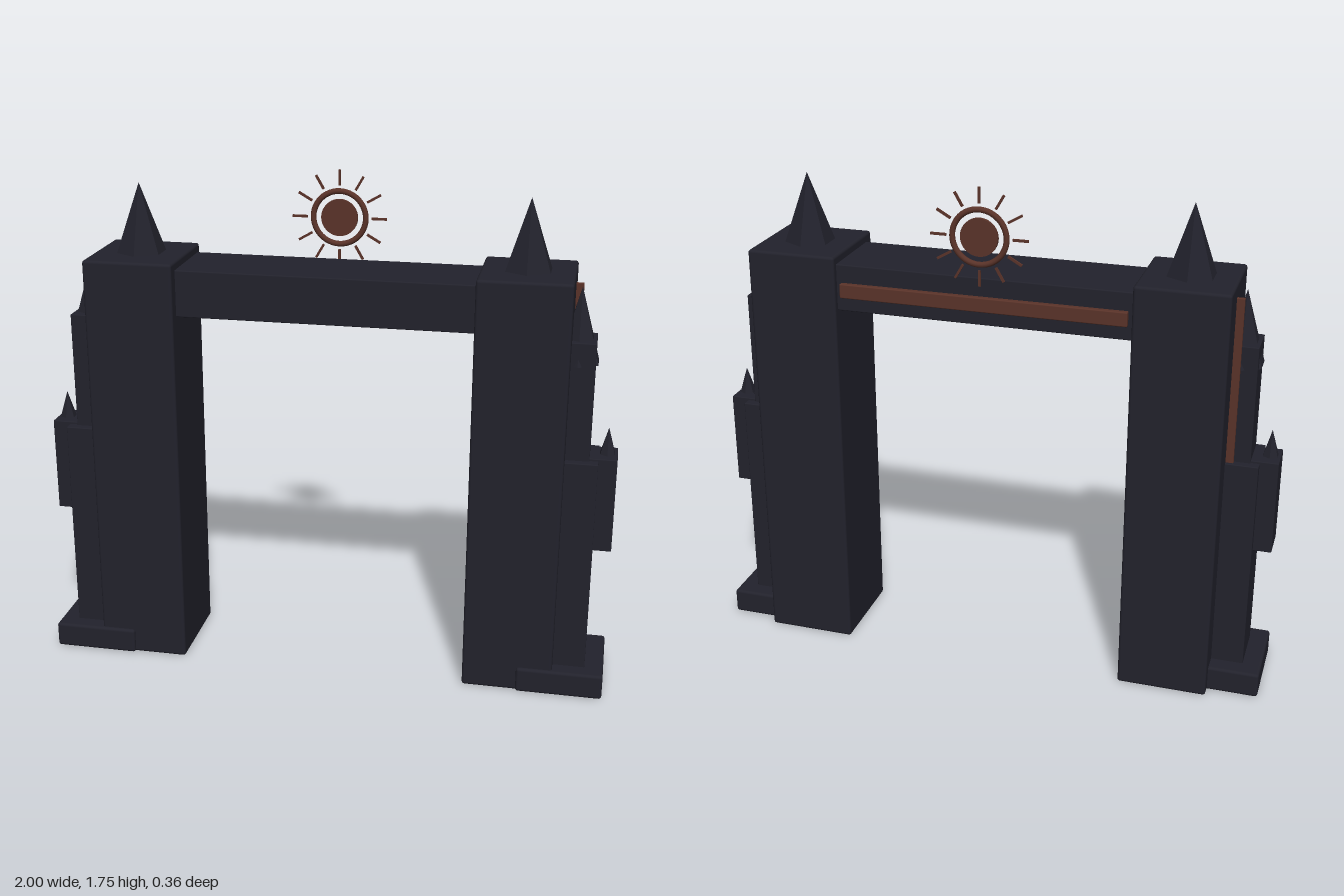
import * as THREE from 'three';
import { RoundedBoxGeometry } from 'three/addons/geometries/RoundedBoxGeometry.js';

const stone = new THREE.MeshStandardMaterial({ color: 0x22222c });
stone.name = 'dark stone';
const copper = new THREE.MeshStandardMaterial({ color: 0x5a3329 });
copper.name = 'copper';
// faceted spires share the stone colour
const facet = (geometry) => {
  const g = geometry.toNonIndexed();
  g.computeVertexNormals();
  return g;
};

function add(parent, name, geometry, material, x = 0, y = 0, z = 0) {
  const mesh = new THREE.Mesh(geometry, material);
  mesh.name = name;
  mesh.position.set(x, y, z);
  parent.add(mesh);
  return mesh;
}

// box given by its limits on each axis, with slightly softened edges
function block(parent, name, material, [x0, x1], [y0, y1], [z0, z1], r = 0.006) {
  const g = new RoundedBoxGeometry(x1 - x0, y1 - y0, z1 - z0, 2, r);
  return add(parent, name, g, material, (x0 + x1) / 2, (y0 + y1) / 2, (z0 + z1) / 2);
}

// six-sided spire with a corner towards the front
function spire(parent, name, radius, y0, y1, x, z) {
  const g = facet(new THREE.ConeGeometry(radius, y1 - y0, 6));
  add(parent, name, g, stone, x, (y0 + y1) / 2, z);
}

// one pier of the gate; side is +1 for left, -1 for right
function pier(side) {
  const group = new THREE.Group();
  group.name = side > 0 ? 'leftPier' : 'rightPier';
  const span = (a, b) => (side > 0 ? [a, b] : [-b, -a]);

  block(group, 'mainTower', stone, span(0.51, 0.824), [0, 1.475], [-0.178, 0.166], 0.01);
  spire(group, 'mainSpire', 0.088, 1.47, 1.715, side * 0.667, -0.006);

  // stepped side turrets
  block(group, 'lowerTurret', stone, span(0.745, 0.935), [0.02, 0.852], [-0.072, 0.12], 0.003);
  block(group, 'upperTurret', stone, span(0.77, 0.905), [0.8, 1.262], [-0.045, 0.092], 0.003);
  spire(group, 'turretSpire', 0.077, 1.18, 1.435, side * 0.847, 0.023);
  block(group, 'hangingTurret', stone, span(0.9, 0.998), [0.525, 0.86], [-0.04, 0.085], 0.003);
  spire(group, 'hangingSpire', 0.03, 0.855, 0.953, side * 0.963, 0.023);

  // foot and copper trim
  block(group, 'plinth', stone, span(0.7, 1), [0, 0.09], [-0.135, 0.178], 0.01);
  block(group, 'verticalTrim', copper, span(0.81, 0.85), [0.83, 1.428], [-0.06, -0.045], 0.002);
  return group;
}

// sun emblem: disc, ring and twelve rays
function sun() {
  const group = new THREE.Group();
  group.name = 'sunEmblem';
  const disc = add(group, 'sunDisc', new THREE.CylinderGeometry(0.064, 0.064, 0.012, 40), copper);
  disc.rotation.x = Math.PI / 2;
  add(group, 'sunRing', new THREE.TorusGeometry(0.092, 0.01, 10, 48), copper);
  const ray = new THREE.BoxGeometry(0.008, 0.054, 0.007);
  for (let i = 0; i < 12; i++) {
    const a = (i * Math.PI) / 6;
    const mesh = add(group, 'sunRay', ray, copper, -Math.sin(a) * 0.139, Math.cos(a) * 0.139, 0);
    mesh.rotation.z = a;
  }
  group.position.set(0, 1.588, -0.168);
  return group;
}

export function createModel() {
  const model = new THREE.Group();
  model.name = 'gate';
  model.add(pier(1), pier(-1));

  // crossbeam with a copper band along the back
  block(model, 'crossbeam', stone, [-0.53, 0.53], [1.283, 1.446], [-0.155, 0.123], 0.004);
  block(model, 'beamTrim', copper, [-0.495, 0.495], [1.333, 1.383], [-0.173, -0.145], 0.004);
  model.add(sun());
  return model;
}
